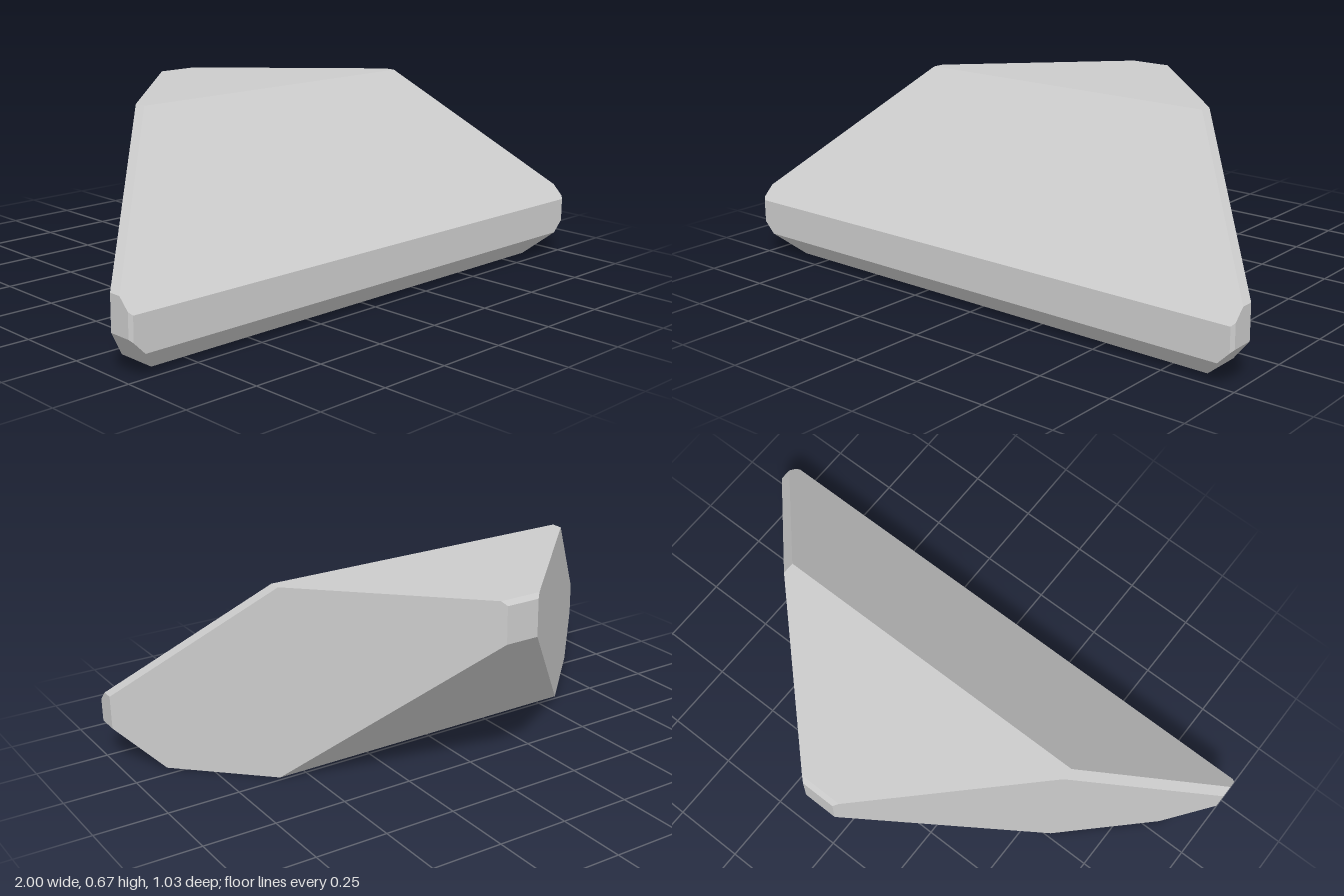
import * as THREE from 'three';
import { ConvexGeometry } from 'three/addons/geometries/ConvexGeometry.js';

// Corners of the left half; the right half is mirrored across x = 0
const HALF = [
  // flat top
  [0.575, 0.672, 0], [0.575, 0.672, 0.043], [0.075, 0.672, -0.5],
  // narrow back facet
  [0.06, 0.657, -0.515], [0.06, 0.53, -0.515],
  // flat bottom
  [0.59, 0, 0.015], [0.87, 0, 0.295], [0.87, 0, 0.435],
  // side tip facet
  [1, 0.13, 0.425], [1, 0.247, 0.425], [1, 0.247, 0.468], [1, 0.13, 0.505], [1, 0.21, 0.505],
  // front facet
  [0.99, 0.12, 0.515], [0.99, 0.2, 0.515], [0.95, 0.08, 0.515],
];

export function createModel() {
  const group = new THREE.Group();
  group.name = 'bevelledWedge';

  // One convex faceted block
  const points = HALF.flatMap(([x, y, z]) => [
    new THREE.Vector3(x, y, z),
    new THREE.Vector3(-x, y, z),
  ]);
  const block = new THREE.Mesh(
    new ConvexGeometry(points),
    new THREE.MeshStandardMaterial({ color: 0xcccccc, flatShading: true }),
  );
  block.name = 'facetedBlock';
  group.add(block);

  return group;
}
